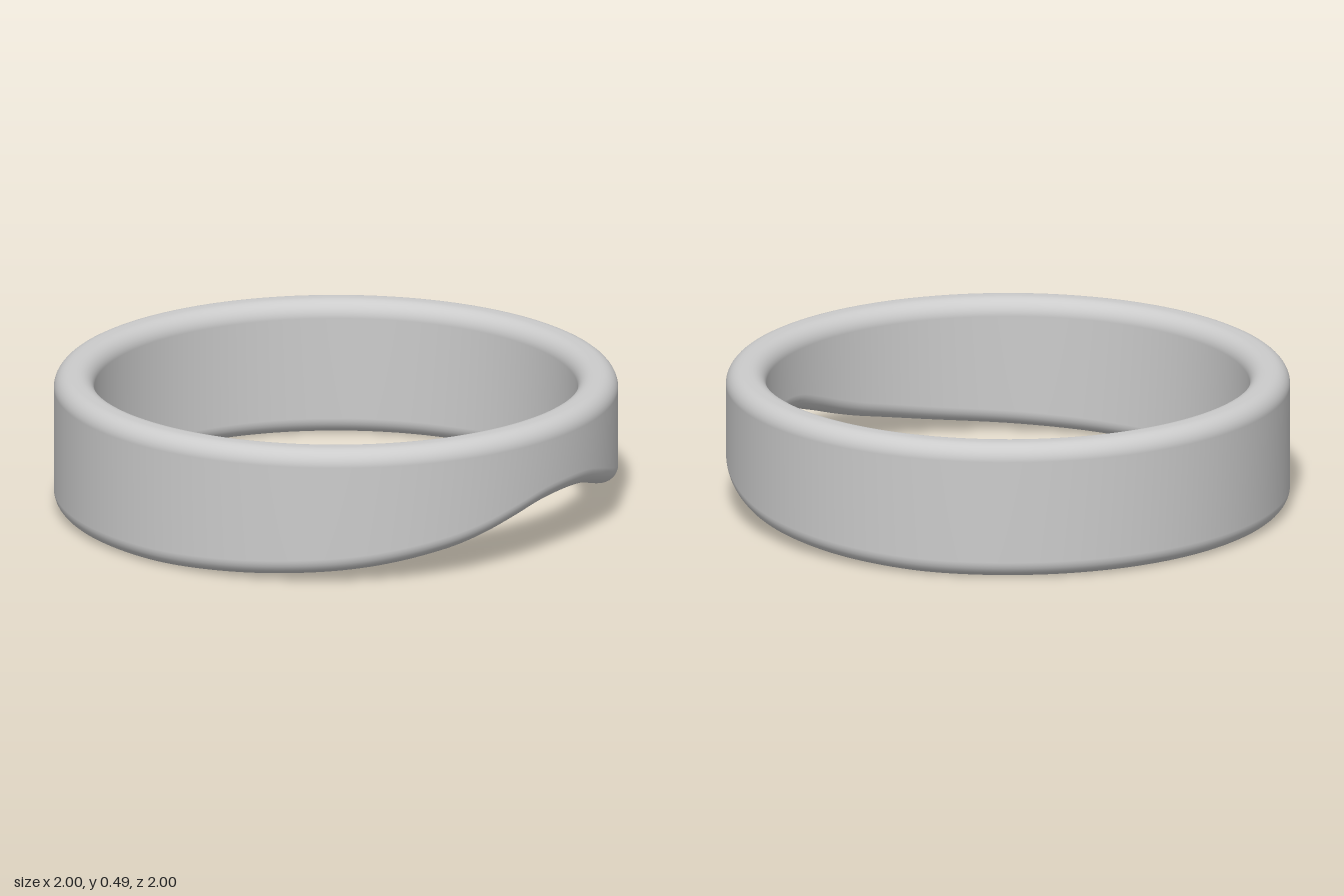
import * as THREE from 'three';

const OUTER = 1, INNER = 0.857, TOP = 0.49, FILLET = 0.06;
const AROUND = 192, CORNER = 8;

// height of the lower edge by angle (degrees) away from +x, mirrored in z
const lowerEdge = [
  [0, 0.21], [8, 0.2], [16, 0.165], [24, 0.125], [32, 0.093],
  [50, 0.045], [70, 0.018], [90, 0.003], [100, 0], [180, 0],
];

// smooth interpolation with flat ends
function lowerHeight(deg) {
  const n = lowerEdge.length;
  let i = 0;
  while (i < n - 2 && deg > lowerEdge[i + 1][0]) i++;
  const slope = (k) => {
    if (k === 0 || k >= n - 2) return 0;
    const [a, b] = [lowerEdge[k - 1], lowerEdge[k + 1]];
    return (b[1] - a[1]) / (b[0] - a[0]);
  };
  const [x0, y0] = lowerEdge[i], [x1, y1] = lowerEdge[i + 1];
  const h = x1 - x0, t = (deg - x0) / h, t2 = t * t, t3 = t2 * t;
  return (2 * t3 - 3 * t2 + 1) * y0 + (t3 - 2 * t2 + t) * h * slope(i)
    + (3 * t2 - 2 * t3) * y1 + (t3 - t2) * h * slope(i + 1);
}

// rounded rectangle of (radius, height), counter-clockwise from the outer bottom
function section(bottom) {
  const corners = [
    [OUTER - FILLET, bottom + FILLET, -0.5], [OUTER - FILLET, TOP - FILLET, 0],
    [INNER + FILLET, TOP - FILLET, 0.5], [INNER + FILLET, bottom + FILLET, 1],
  ];
  const points = [];
  for (const [r, y, start] of corners) {
    for (let k = 0; k <= CORNER; k++) {
      const a = (start + 0.5 * k / CORNER) * Math.PI;
      points.push([r + FILLET * Math.cos(a), y + FILLET * Math.sin(a)]);
    }
  }
  return points;
}

// sweep the changing section round the ring, closed both ways
function bandGeometry() {
  const positions = [], indices = [];
  const m = 4 * (CORNER + 1);
  for (let i = 0; i < AROUND; i++) {
    const a = (i / AROUND) * Math.PI * 2;
    const deg = Math.min(i, AROUND - i) * 360 / AROUND;
    for (const [r, y] of section(lowerHeight(deg))) {
      positions.push(r * Math.cos(a), y, r * Math.sin(a));
    }
    const next = (i + 1) % AROUND;
    for (let j = 0; j < m; j++) {
      const k = (j + 1) % m;
      const p = i * m + j, q = i * m + k, s = next * m + j, t = next * m + k;
      indices.push(p, q, s, q, t, s);
    }
  }
  const geometry = new THREE.BufferGeometry();
  geometry.setAttribute('position', new THREE.Float32BufferAttribute(positions, 3));
  geometry.setIndex(indices);
  geometry.computeVertexNormals();
  return geometry;
}

export function createModel() {
  const group = new THREE.Group();
  group.name = 'ring';
  const band = new THREE.Mesh(bandGeometry(), new THREE.MeshStandardMaterial({ color: 0xcccccc }));
  band.name = 'ringBand';
  group.add(band);
  return group;
}
